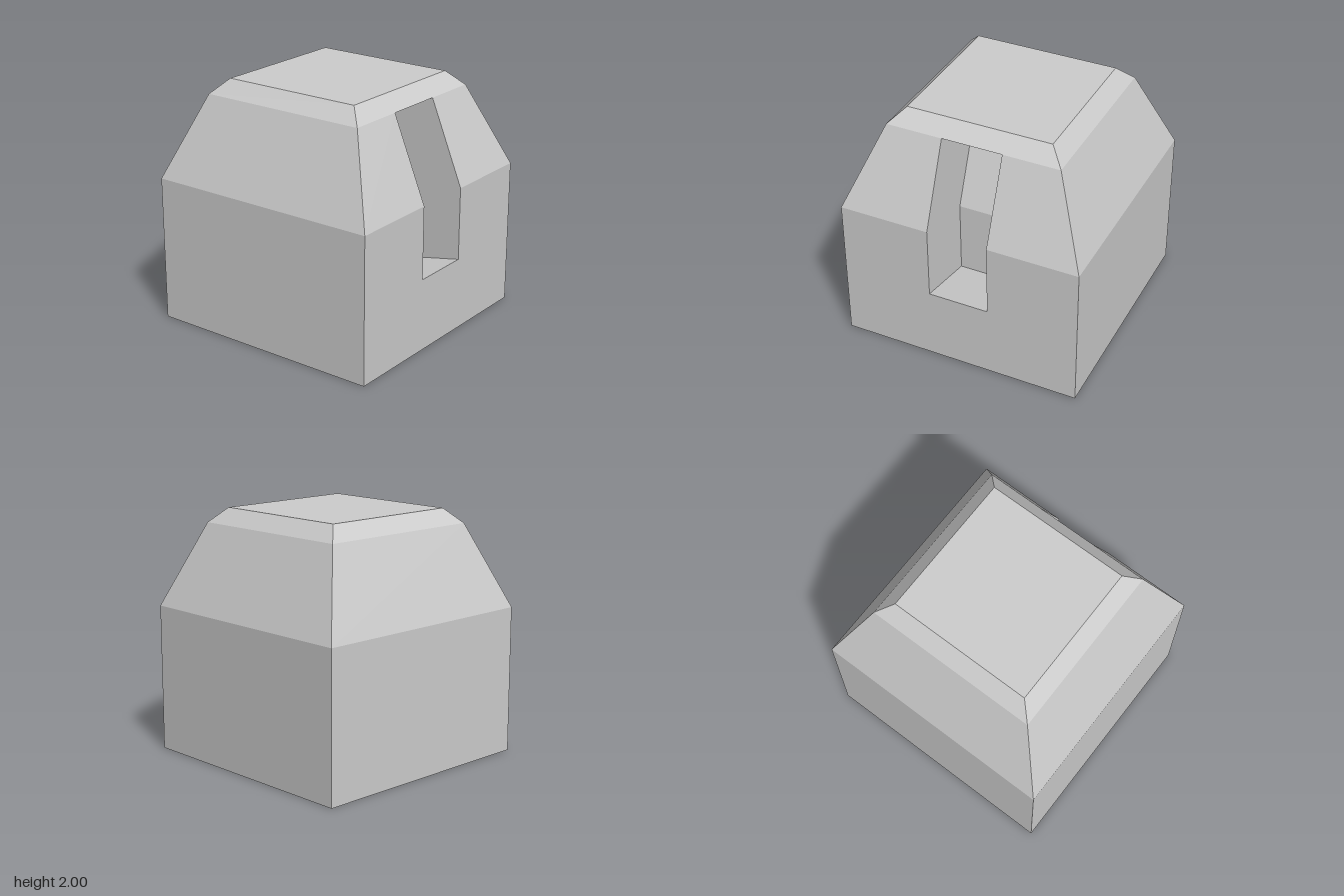
import * as THREE from 'three';

const material = new THREE.MeshStandardMaterial({ color: 0xcccccc, flatShading: true });

// Collects quads (corners counter-clockwise from outside) into a flat-shaded mesh
function quadMesh(name, quads) {
  const positions = quads.flatMap(([a, b, c, d]) => [a, b, c, a, c, d].flat());
  const geometry = new THREE.BufferGeometry();
  geometry.setAttribute('position', new THREE.Float32BufferAttribute(positions, 3));
  geometry.computeVertexNormals();
  const mesh = new THREE.Mesh(geometry, material);
  mesh.name = name;
  return mesh;
}

// Panel facing +x between two profile points [x, y], with a z range at each
function panel([x0, y0], [x1, y1], [a0, b0], [a1, b1]) {
  return [[x0, y0, b0], [x0, y0, a0], [x1, y1, a1], [x1, y1, b1]];
}

// Quarter turns about the vertical axis
function turn(quad, k) {
  return quad.map(([x, y, z]) => {
    for (let i = 0; i < k; i++) [x, z] = [z, -x];
    return [x, y, z];
  });
}

export function createModel() {
  const group = new THREE.Group();
  group.name = 'chamferedBlock';

  const profile = [[1, 0], [1, 1.2], [0.72, 1.88], [0.6, 2]]; // half width, height
  const w = 0.25; // half width of the recess
  const sill = 0.6; // height of the recess sill
  const inset = [-0.54, -0.11];
  const full = (p) => [-p[0], p[0]];

  // Body: three plain sides, then the recessed +x side
  const body = [];
  for (let i = 0; i < 3; i++) {
    const lo = profile[i], hi = profile[i + 1];
    const plain = panel(lo, hi, full(lo), full(hi));
    for (let k = 1; k < 4; k++) body.push(turn(plain, k));
    if (i === 2) body.push(plain);
  }
  const sillPoint = [1, sill];
  const outer = [sillPoint, profile[1], profile[2]];
  body.push(panel(profile[0], sillPoint, [-1, 1], [-1, 1]));
  for (let i = 0; i < 2; i++) {
    const lo = outer[i], hi = outer[i + 1];
    body.push(panel(lo, hi, [w, lo[0]], [w, hi[0]]));
    body.push(panel(lo, hi, [-lo[0], -w], [-hi[0], -w]));
  }

  // Top and bottom caps
  const cap = (h, y) => [[-h, y, h], [h, y, h], [h, y, -h], [-h, y, -h]];
  body.push(cap(0.6, 2), cap(1, 0).reverse());
  group.add(quadMesh('body', body));

  // Recess: floor, bent back wall and ceiling, then the two cheeks
  const inner = outer.map(([x, y]) => [x + inset[0], y + inset[1]]);
  const path = [outer[0], ...inner, outer[2]];
  const recess = [];
  for (let i = 0; i < path.length - 1; i++) {
    recess.push(panel(path[i], path[i + 1], [-w, w], [-w, w]));
  }
  for (let i = 0; i < 2; i++) {
    const cheek = [outer[i], outer[i + 1], inner[i + 1], inner[i]];
    recess.push(cheek.map(([x, y]) => [x, y, -w]));
    recess.push(cheek.map(([x, y]) => [x, y, w]).reverse());
  }
  group.add(quadMesh('sideRecess', recess));

  return group;
}
